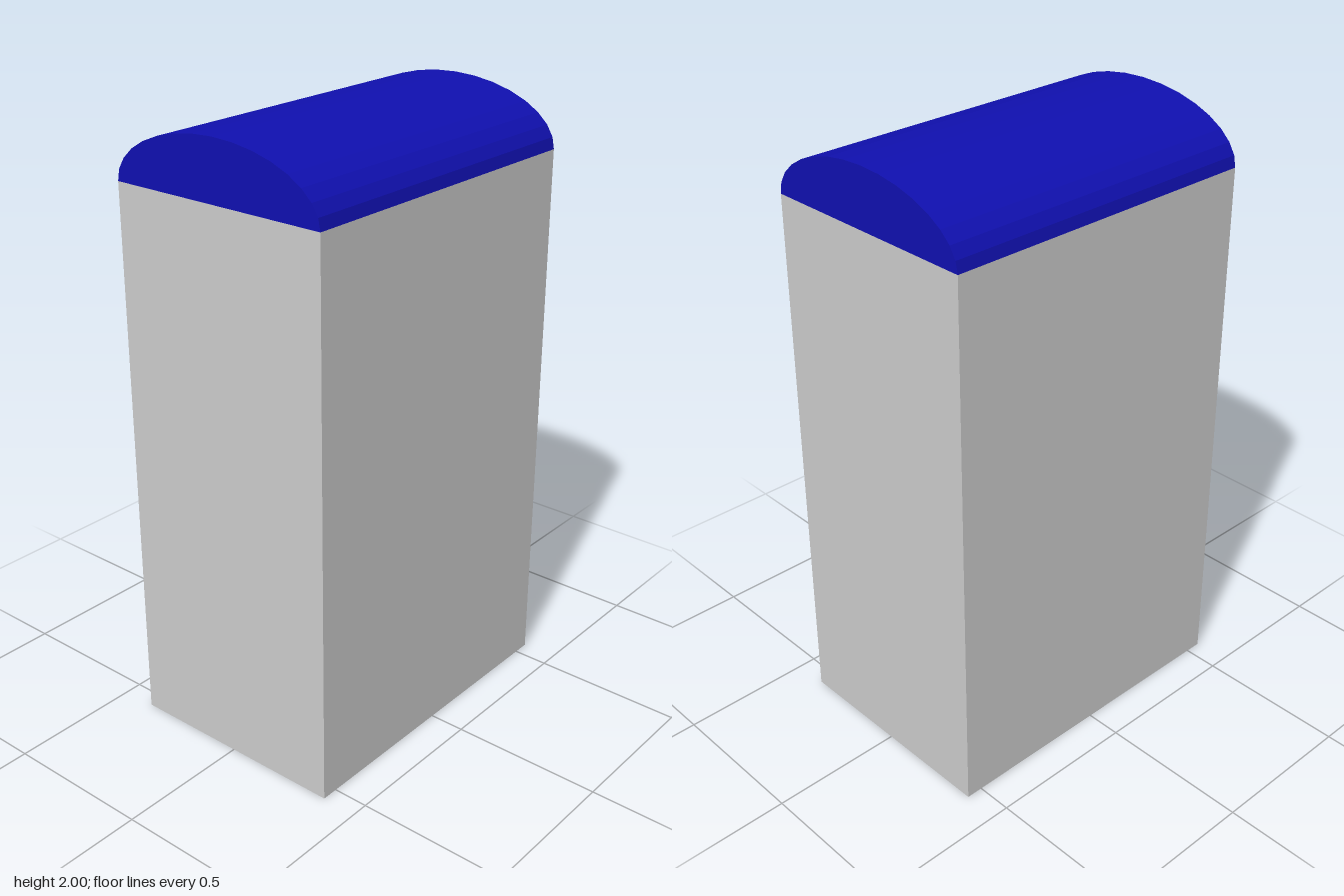
import * as THREE from 'three';

const WIDTH = 1.11, DEPTH = 0.765, BODY_HEIGHT = 1.81, LID_HEIGHT = 0.19;

export function createModel() {
  const model = new THREE.Group();

  // Tall rectangular body
  const body = new THREE.Mesh(
    new THREE.BoxGeometry(WIDTH, BODY_HEIGHT, DEPTH),
    new THREE.MeshStandardMaterial({ color: 0xcccccc })
  );
  body.name = 'body';
  body.position.y = BODY_HEIGHT / 2;
  model.add(body);

  // Arched lid: half ellipse of 16 facets, extruded along the width
  const arch = new THREE.Shape();
  arch.absellipse(0, 0, DEPTH / 2, LID_HEIGHT, 0, Math.PI, false);
  arch.closePath();
  const lidGeometry = new THREE.ExtrudeGeometry(arch, {
    depth: WIDTH, bevelEnabled: false, curveSegments: 8,
  });
  lidGeometry.translate(0, 0, -WIDTH / 2).rotateY(Math.PI / 2);
  const lid = new THREE.Mesh(
    lidGeometry,
    new THREE.MeshStandardMaterial({ color: 0x1010b0, flatShading: true })
  );
  lid.name = 'archedLid';
  lid.position.y = BODY_HEIGHT;
  model.add(lid);

  return model;
}
